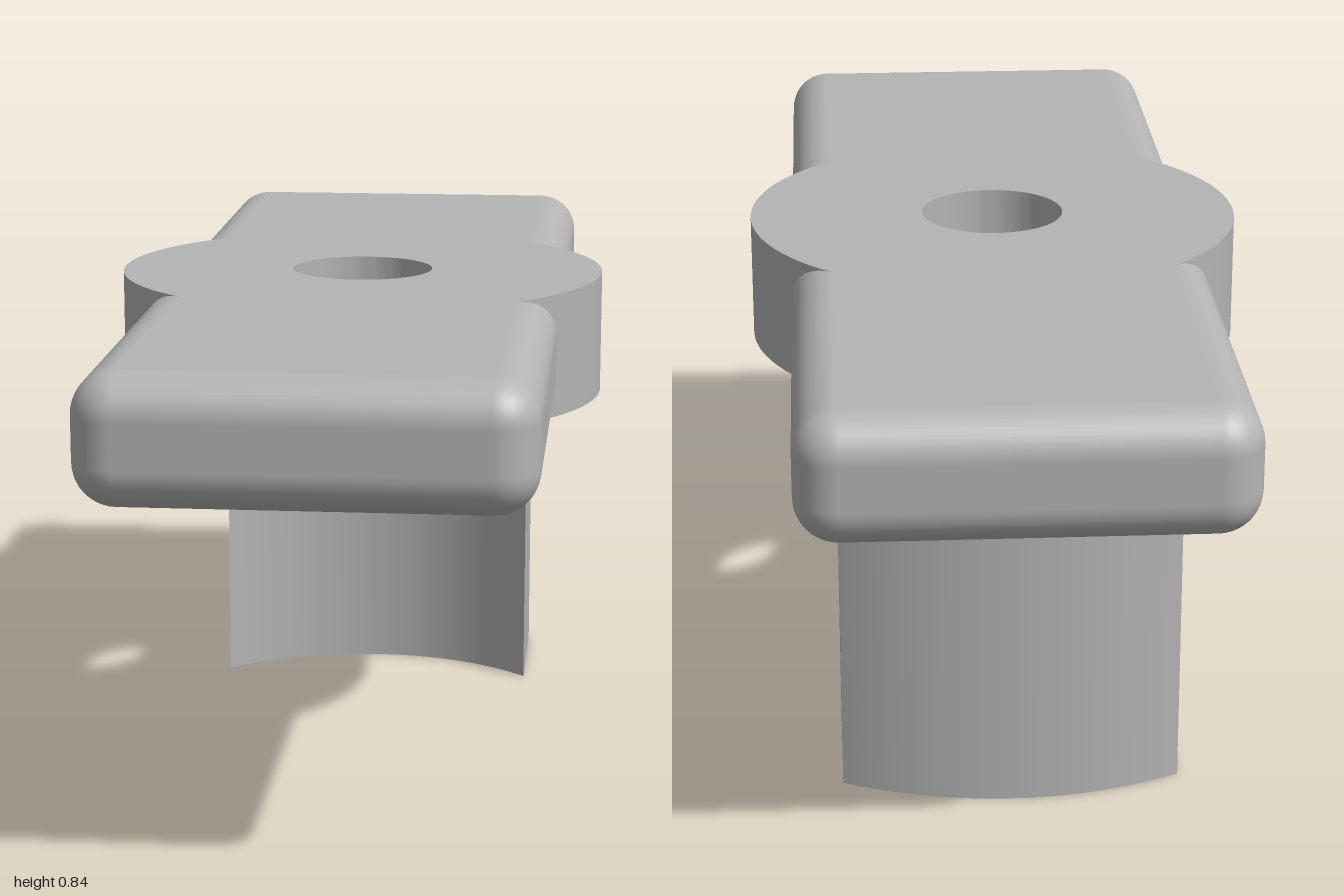
import * as THREE from 'three';
import { toCreasedNormals } from 'three/addons/utils/BufferGeometryUtils.js';
import { RoundedBoxGeometry } from 'three/addons/geometries/RoundedBoxGeometry.js';

const BOTTOM = 0.63, TOP = 0.843, THICK = TOP - BOTTOM;

// Extrude a plan outline (shape x = x, shape y = -z) upwards from y0
function extrudeUp(shape, y0, height) {
  const geo = new THREE.ExtrudeGeometry(shape, { depth: height, bevelEnabled: false, curveSegments: 48 });
  geo.rotateX(-Math.PI / 2);
  geo.translate(0, y0, 0);
  return toCreasedNormals(geo, 0.5);
}

export function createModel() {
  const model = new THREE.Group();
  const grey = new THREE.MeshStandardMaterial({ color: 0xb4b4b4 });
  grey.name = 'grey';

  const add = (name, geo) => {
    const mesh = new THREE.Mesh(geo, grey);
    mesh.name = name;
    model.add(mesh);
    return mesh;
  };

  // Round hub with a through hole
  const disc = new THREE.Shape().absarc(0, 0, 0.427, 0, Math.PI * 2);
  disc.holes.push(new THREE.Path().absarc(0, 0, 0.124, 0, Math.PI * 2, true));
  add('hub', extrudeUp(disc, BOTTOM, THICK));

  // Two softened arms, their inner ends buried in the hub on either side of the hole
  const inner = 0.14, length = 1 - inner;
  for (const [name, side] of [['frontArm', 1], ['backArm', -1]]) {
    const arm = add(name, new RoundedBoxGeometry(0.71, THICK, length, 6, 0.07));
    arm.position.set(0, (BOTTOM + TOP) / 2, side * (inner + length / 2));
  }

  // Curved leg under the back arm: a ring slice with flat, parallel sides
  const half = 0.286, rIn = 0.4, rOut = 0.61;
  const aIn = Math.acos(half / rIn), aOut = Math.acos(half / rOut);
  const slice = new THREE.Shape();
  slice.absarc(0, 0, rOut, aOut, Math.PI - aOut, false);
  slice.absarc(0, 0, rIn, Math.PI - aIn, aIn, true);
  slice.closePath();
  add('leg', extrudeUp(slice, 0, BOTTOM + 0.02));

  return model;
}
